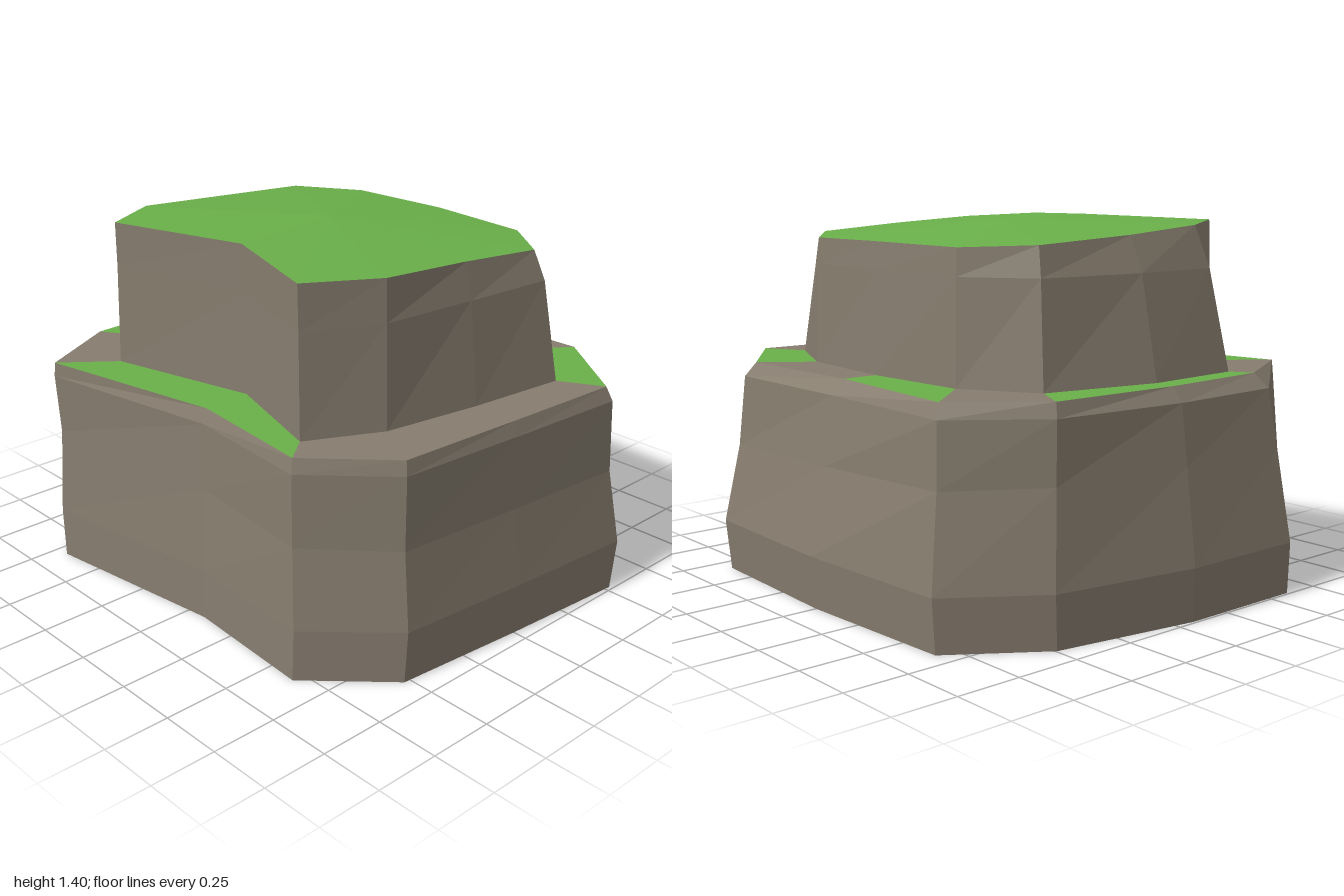
import * as THREE from 'three';

const stone = new THREE.MeshStandardMaterial({ color: 0x877d6f, flatShading: true });
stone.name = 'stone';
const grass = new THREE.MeshStandardMaterial({ color: 0x6ab04a, flatShading: true });
grass.name = 'grass';

// Outlines as [x, z], starting at the front right corner and running past the front left one
const FOOT = [[-0.69, 0.87], [0.08, 0.765], [0.62, 0.80], [0.895, 0.525], [0.945, 0], [0.985, -0.525],
  [0.66, -0.83], [0, -0.86], [-0.67, -0.83], [-0.9, -0.495], [-0.99, 0.08], [-0.99, 0.605]];
const RIM = [[-0.68, 0.86], [0.08, 0.715], [0.60, 0.77], [0.87, 0.51], [0.9, 0], [0.925, -0.49],
  [0.58, -0.74], [0, -0.72], [-0.62, -0.77], [-0.86, -0.47], [-0.885, 0.06], [-0.86, 0.53]];
const WAIST = [[-0.52, 0.665], [0.07, 0.525], [0.52, 0.665], [0.66, 0.39], [0.72, 0], [0.76, -0.4],
  [0.44, -0.55], [0, -0.58], [-0.44, -0.555], [-0.71, -0.39], [-0.8, 0.07], [-0.78, 0.48]];
const CROWN = [[-0.51, 0.66], [0.06, 0.52], [0.51, 0.66], [0.64, 0.38], [0.65, 0], [0.665, -0.35],
  [0.43, -0.535], [0, -0.56], [-0.43, -0.54], [-0.65, -0.36], [-0.67, 0.06], [-0.66, 0.41]];
const N = FOOT.length;

// The crown is level in front and slopes down towards the back
const crownY = (x, z) => 1.4 - 0.015 * Math.abs(x) / 0.66 * (z > 0 ? 1 : 0.5)
  - (z < 0.5 ? 0.075 * (0.5 - z) / 1.05 : 0);

// Ring of points between two outlines; y is a height or a rule
function ring(a, b, t, y, scale = 1, dz = 0) {
  return a.map(([ax, az], i) => {
    const x = (ax + (b[i][0] - ax) * t) * scale;
    const z = (az + (b[i][1] - az) * t) * scale + dz;
    return [x, typeof y === 'function' ? y(x, z) : y, z];
  });
}

// Quads joining neighbouring rings, limited to the chosen sides
function band(rings, use = () => true) {
  const pos = [];
  for (let r = 0; r + 1 < rings.length; r++) {
    for (let i = 0; i < N; i++) {
      if (!use(i)) continue;
      const j = (i + 1) % N, lo = rings[r], hi = rings[r + 1];
      for (const p of [lo[i], lo[j], hi[j], lo[i], hi[j], hi[i]]) pos.push(...p);
    }
  }
  return pos;
}

// Fan closing a ring, facing up or down
function fan(points, centre, up) {
  const pos = [];
  points.forEach((p, i) => {
    const q = points[(i + 1) % N];
    pos.push(...centre, ...(up ? p : q), ...(up ? q : p));
  });
  return pos;
}

function addMesh(group, name, pos, material) {
  const geometry = new THREE.BufferGeometry();
  geometry.setAttribute('position', new THREE.Float32BufferAttribute(pos, 3));
  geometry.computeVertexNormals();
  const mesh = new THREE.Mesh(geometry, material);
  mesh.name = name;
  group.add(mesh);
}

export function createModel() {
  const group = new THREE.Group();
  group.name = 'steppedRock';

  // Lower tier: slight bulge near the ground, narrow middle, bevelled rim
  const foot = ring(FOOT, RIM, 0, 0);
  const rim = ring(FOOT, RIM, 1, 0.835);
  addMesh(group, 'lowerRock', band([
    foot,
    ring(FOOT, RIM, 0, 0.2, 1.01, -0.01),
    ring(FOOT, RIM, 0.25, x => 0.525 - 0.03 * x, 0.985),
    ring(FOOT, RIM, 0.62, 0.78),
    rim,
  ]), stone);
  addMesh(group, 'underside', fan(foot, [0, 0, 0], false), stone);

  // Ledge between the tiers, with patches of grass
  const waist = ring(WAIST, CROWN, 0, 0.835);
  const grassy = i => [0, 1, 5, 7, 9, 10].includes(i);
  addMesh(group, 'ledgeStone', band([rim, waist], i => !grassy(i)), stone);
  addMesh(group, 'ledgeGrass', band([rim, waist], grassy), grass);

  // Upper tier and its grass cap
  const crown = ring(WAIST, CROWN, 1, crownY);
  addMesh(group, 'upperRock', band([waist, ring(WAIST, CROWN, 0.55, 1.22, 0.995), crown]), stone);
  addMesh(group, 'grassCap', fan(crown, [-0.03, 1.39, 0.02], true), grass);

  return group;
}
